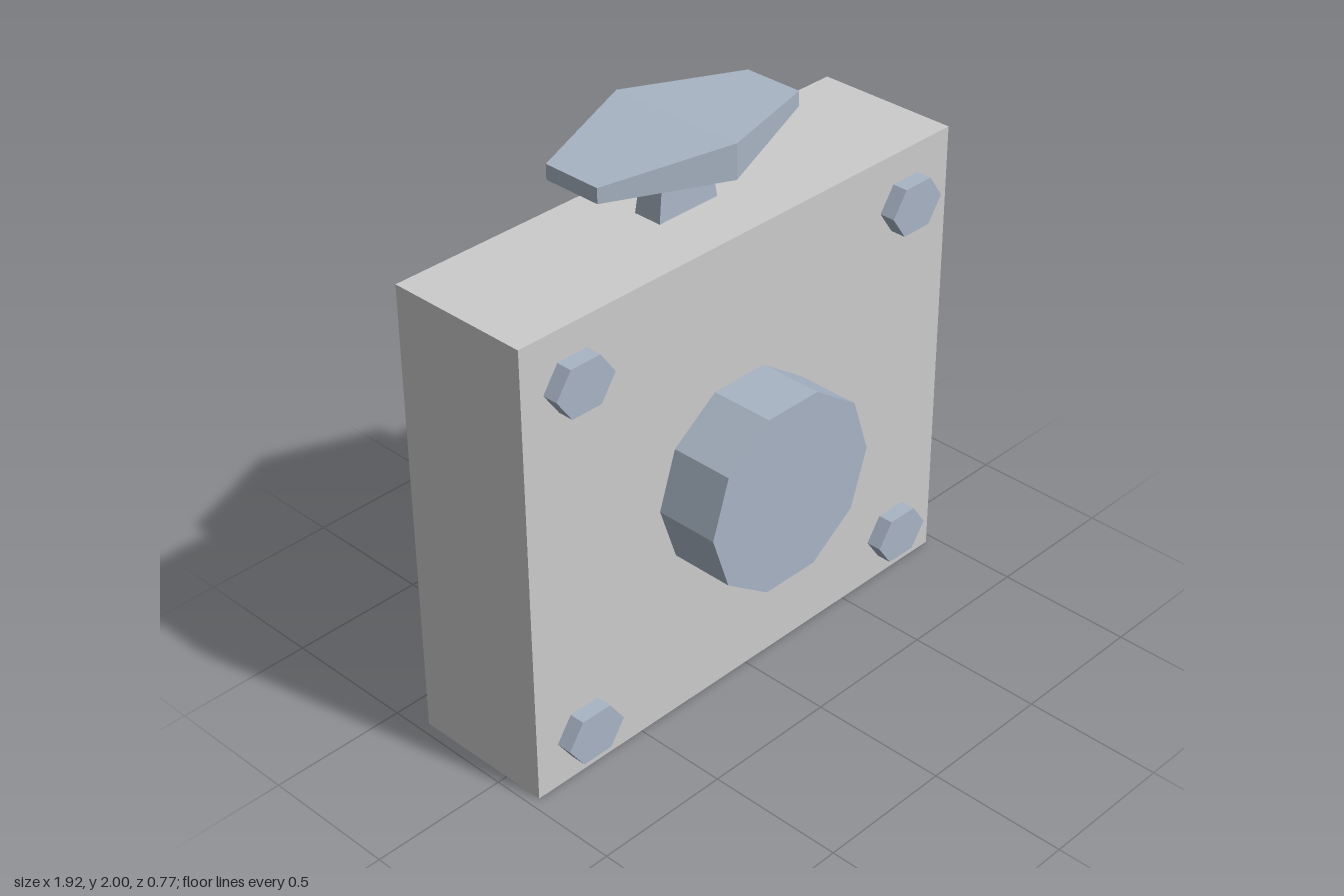
import * as THREE from 'three';

const grey = new THREE.MeshStandardMaterial({ color: 0xcccccc, flatShading: true });
const steel = new THREE.MeshStandardMaterial({ color: 0xa8b4c4, flatShading: true });

function add(parent, name, geometry, material, x, y, z) {
  const mesh = new THREE.Mesh(geometry, material);
  mesh.name = name;
  mesh.position.set(x, y, z);
  parent.add(mesh);
  return mesh;
}

// Move every vertex of a geometry by a rule
function reshape(geometry, rule) {
  const p = geometry.attributes.position;
  const v = new THREE.Vector3();
  for (let i = 0; i < p.count; i++) {
    rule(v.fromBufferAttribute(p, i));
    p.setXYZ(i, v.x, v.y, v.z);
  }
  geometry.computeVertexNormals();
  return geometry;
}

// Polygonal disc facing +z with corners at its left and right ends
function disc(rx, ry, depth, sides) {
  return new THREE.CylinderGeometry(1, 1, depth, sides, 1, false, Math.PI / 2)
    .rotateX(Math.PI / 2).scale(rx, ry, 1);
}

export function createModel() {
  const model = new THREE.Group();
  model.name = 'boxWithKnob';
  const front = 0.153;

  // Main block
  add(model, 'body', new THREE.BoxGeometry(1.925, 1.692, front + 0.382), grey,
    0, 0.846, (front - 0.382) / 2);

  // Ten-sided dial on the front
  add(model, 'dial', disc(0.363, 0.351, 0.232, 10), steel, -0.037, 0.836, front + 0.116);

  // Hexagonal bolts in the corners
  const bolt = disc(0.12, 0.1, 0.057, 6);
  for (const x of [-0.753, 0.75])
    for (const y of [0.17, 1.495])
      add(model, 'bolt', bolt, steel, x, y, front + 0.028);

  // Tapered stem and six-sided cap on top
  const knob = new THREE.Group();
  knob.name = 'knob';
  knob.position.set(-0.036, 1.692, -0.123);
  model.add(knob);

  const stem = reshape(new THREE.BoxGeometry(0.256, 0.2, 0.108), (v) => {
    if (v.y > 0) { v.x *= 0.78; v.z *= 0.8; }
  });
  add(knob, 'stem', stem, steel, 0, 0.1, 0);

  // The cap thins out and narrows towards its two ends
  const cap = reshape(new THREE.CylinderGeometry(1, 1, 0.125, 6), (v) => {
    const end = Math.abs(v.x) > 0.1;
    v.x *= 0.511;
    v.y *= end ? 0.43 : 1;
    v.z *= end ? 0.22 : 0.259;
  });
  add(knob, 'cap', cap, steel, 0, 0.2455, 0);

  return model;
}
